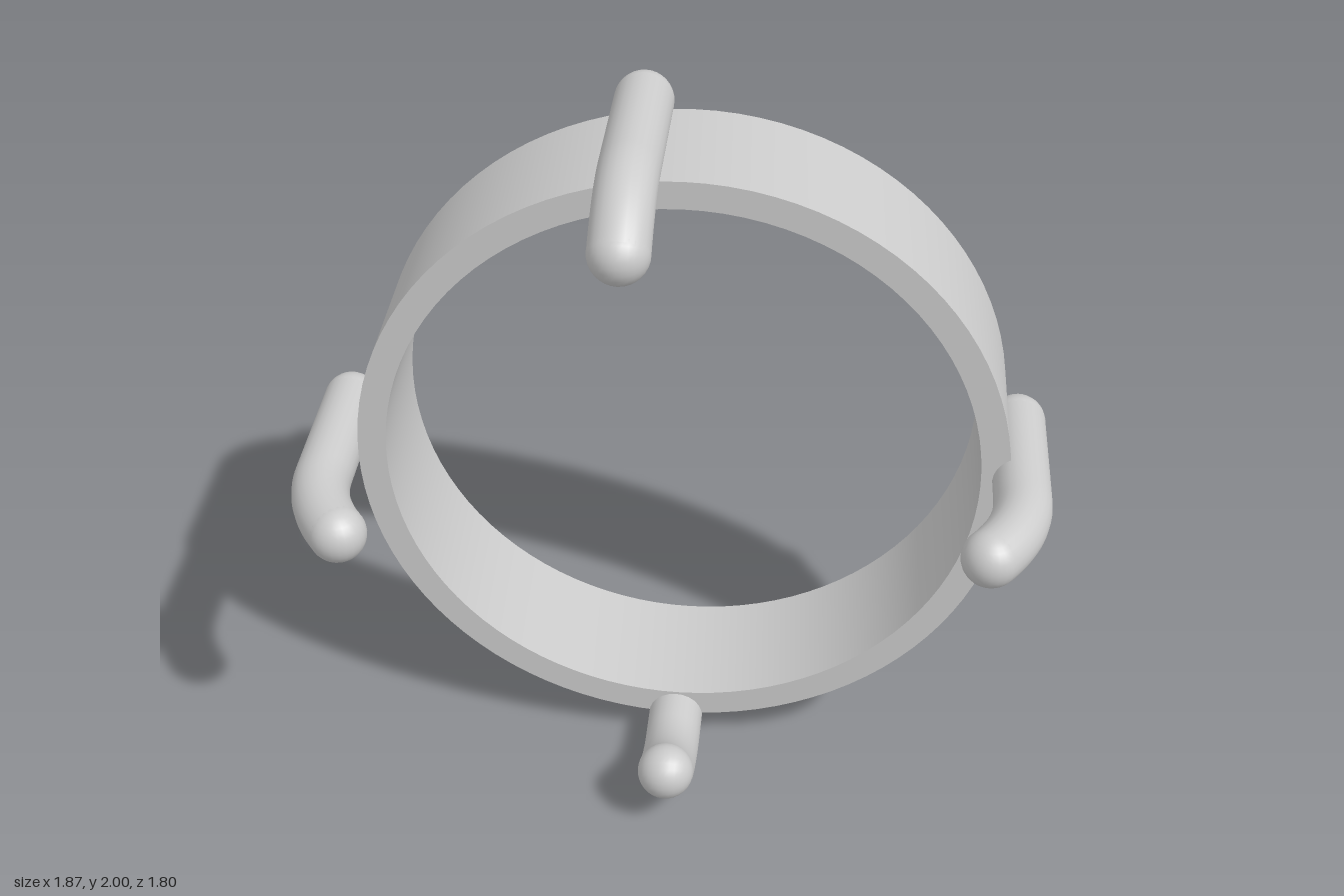
import * as THREE from 'three';
import { toCreasedNormals } from 'three/addons/utils/BufferGeometryUtils.js';

const material = new THREE.MeshStandardMaterial({ color: 0xcccccc });

function mesh(name, geometry) {
  const m = new THREE.Mesh(geometry, material);
  m.name = name;
  return m;
}

// Flat band with a rectangular section, axis along z
function makeRing(outer, inner, width) {
  const h = width / 2;
  const profile = [[outer, -h], [outer, h], [inner, h], [inner, -h], [outer, -h]]
    .map(([x, y]) => new THREE.Vector2(x, y));
  const geometry = new THREE.LatheGeometry(profile, 96).rotateX(Math.PI / 2);
  return mesh('ring', toCreasedNormals(geometry, 0.6));
}

// Round rod along z whose front end bends towards -x, with ball ends
function makeProng(name, radius) {
  const prong = new THREE.Group();
  prong.name = name;
  const back = new THREE.Vector3(0, 0, -0.085);
  const bend = new THREE.Vector3(0, 0, 0.28);
  const tip = new THREE.Vector3(-0.09, 0, 0.525);
  const path = new THREE.CurvePath();
  path.add(new THREE.LineCurve3(back, bend));
  path.add(new THREE.QuadraticBezierCurve3(bend, new THREE.Vector3(0, 0, 0.41), tip));
  prong.add(mesh('rod', new THREE.TubeGeometry(path, 40, radius, 24)));
  for (const [part, p] of [['backEnd', back], ['tip', tip]]) {
    const ball = mesh(part, new THREE.SphereGeometry(radius, 24, 16));
    ball.position.copy(p);
    prong.add(ball);
  }
  return prong;
}

export function createModel() {
  const model = new THREE.Group();
  model.name = 'prongedRing';

  // Ring and prongs share one turned, slightly tilted frame
  const frame = new THREE.Group();
  frame.name = 'frame';
  frame.position.set(0.13, 0.965, -0.12);
  frame.rotation.set(-0.021, -0.741, 0, 'YXZ');
  frame.add(makeRing(0.877, 0.8, 0.39));

  // Prongs: name, position across the ring, turn about its axis
  const prongs = [
    ['leftProng', 0.906, 0.022, 0],
    ['topProng', -0.12, 0.952, Math.PI / 2],
    ['rightProng', -0.955, -0.017, Math.PI],
    ['bottomProng', -0.011, -0.884, -Math.PI / 2],
  ];
  for (const [name, x, y, turn] of prongs) {
    const prong = makeProng(name, 0.077);
    prong.position.set(x, y, 0);
    prong.rotation.z = turn;
    frame.add(prong);
  }

  model.add(frame);
  return model;
}
